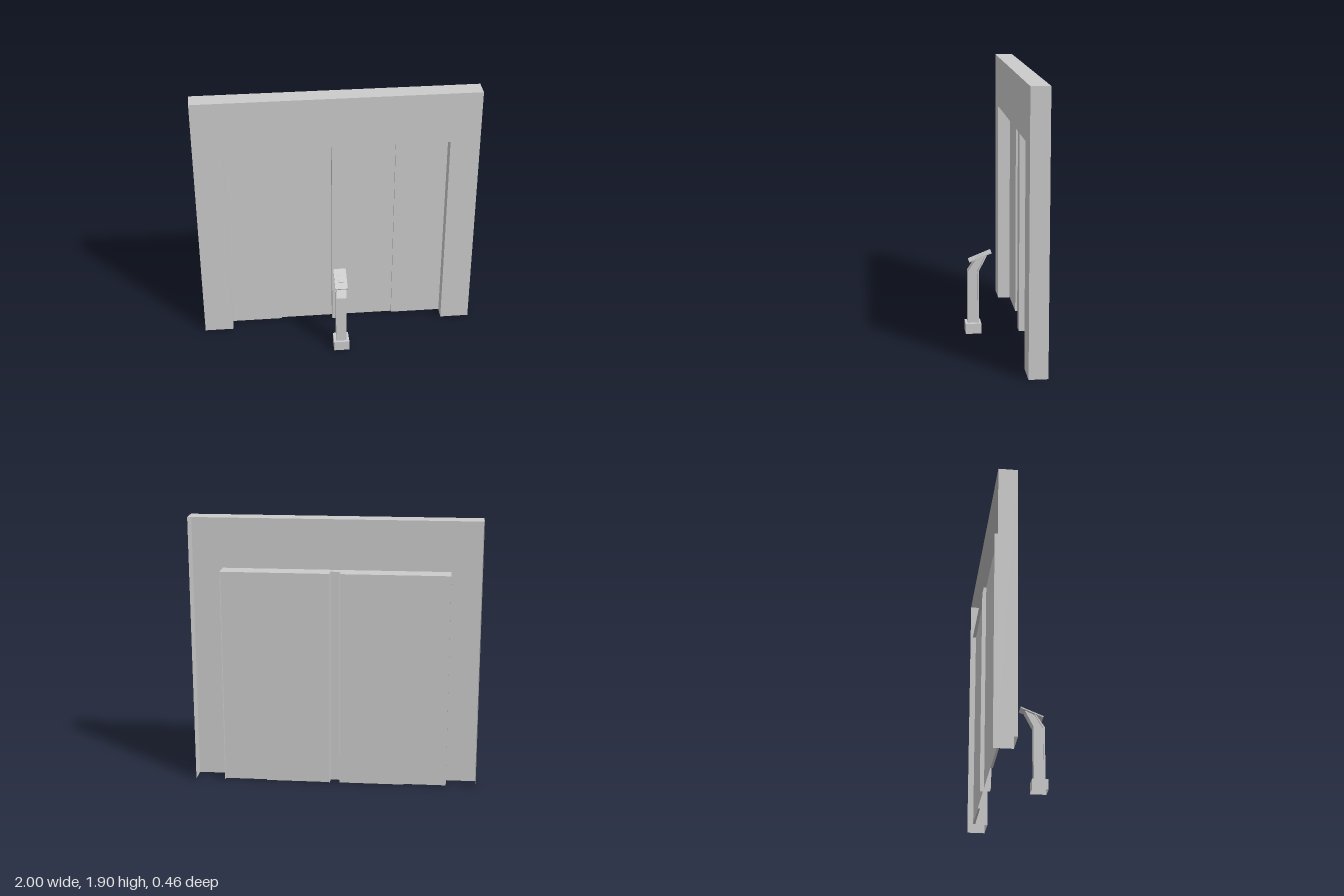
import * as THREE from 'three';

const mat = new THREE.MeshStandardMaterial({ color: 0xcccccc, side: THREE.DoubleSide, flatShading: true });

function add(parent, name, geo, x = 0, y = 0, z = 0) {
  const m = new THREE.Mesh(geo, mat);
  m.name = name;
  m.position.set(x, y, z);
  parent.add(m);
  return m;
}

// Box given by its limits
function block(parent, name, [x0, x1], [y0, y1], [z0, z1]) {
  return add(parent, name, new THREE.BoxGeometry(x1 - x0, y1 - y0, z1 - z0),
    (x0 + x1) / 2, (y0 + y1) / 2, (z0 + z1) / 2);
}

// Thin sheet that follows an open line in x,y and spans z0 (front) to z1 (back)
function ribbon(parent, name, pts, z0, z1) {
  const pos = [];
  for (let i = 0; i < pts.length - 1; i++) {
    const [ax, ay] = pts[i], [bx, by] = pts[i + 1];
    pos.push(ax, ay, z0, bx, by, z0, bx, by, z1, ax, ay, z0, bx, by, z1, ax, ay, z1);
  }
  const g = new THREE.BufferGeometry();
  g.setAttribute('position', new THREE.Float32BufferAttribute(pos, 3));
  g.computeVertexNormals();
  return add(parent, name, g);
}

// Side profile in z,y extruded across x
function sideProfile(parent, name, pts, width) {
  const g = new THREE.ExtrudeGeometry(new THREE.Shape(pts.map(p => new THREE.Vector2(...p))),
    { depth: width, bevelEnabled: false });
  g.translate(0, 0, -width / 2);
  g.rotateY(-Math.PI / 2);
  return add(parent, name, g);
}

function createWall() {
  const wall = new THREE.Group();
  wall.name = 'doorWall';
  const H = 1.905, W = 0.79, T = 1.53, M = 0.035;
  const front = -0.1, back = -0.23, post = -0.16;

  // Facade with the doorway cut out, and its folded outer edge
  const face = new THREE.Shape([[-1, 0], [-W, 0], [-W, T], [W, T], [W, 0], [1, 0], [1, H], [-1, H]]
    .map(p => new THREE.Vector2(...p)));
  add(wall, 'facade', new THREE.ShapeGeometry(face), 0, 0, front);
  ribbon(wall, 'outerEdge', [[1, 0], [1, H], [-1, H], [-1, 0]], front, back);

  // Doorway lining; the back half is split by the centre post
  ribbon(wall, 'doorwayLining', [[-W, 0], [-W, T], [W, T], [W, 0]], front, post);
  for (const s of [-1, 1]) {
    ribbon(wall, 'rearLining', [[s * W, 0], [s * W, T], [s * M, T], [s * M, 0]], post, back);
    // Sliding door leaves, the inner one running behind the outer one
    block(wall, 'outerDoor', s > 0 ? [0.42, W] : [-W, -0.42], [0.004, T], [-0.205, -0.19]);
    add(wall, 'innerDoor', new THREE.PlaneGeometry(0.49 - M, T), s * (0.49 + M) / 2, T / 2, -0.208);
  }
  add(wall, 'centrePost', new THREE.PlaneGeometry(2 * M, T), 0, T / 2, post);
  return wall;
}

function createPedestal() {
  const stand = new THREE.Group();
  stand.name = 'controlPedestal';

  // Hollow foot, open underneath
  const foot = new THREE.Group();
  foot.name = 'foot';
  stand.add(foot);
  const [x, h, z0, z1] = [0.056, 0.075, 0.115, 0.228];
  ribbon(foot, 'footShell', [[-x, 0], [-x, h], [x, h], [x, 0]], z1, z0);
  for (const z of [z0, z1]) add(foot, 'footEnd', new THREE.PlaneGeometry(2 * x, h), 0, h / 2, z);

  // Bent column: a narrower core between front and back plates
  sideProfile(stand, 'frontPlate', [[0.21, h], [0.21, 0.46], [0.15, 0.55], [0.137, 0.552],
    [0.197, 0.455], [0.197, h]], 0.072);
  sideProfile(stand, 'core', [[0.197, h], [0.197, 0.455], [0.137, 0.552], [0.085, 0.574],
    [0.142, 0.462], [0.142, h]], 0.056);
  sideProfile(stand, 'backPlate', [[0.142, h], [0.142, 0.455], [0.085, 0.574], [0.073, 0.572],
    [0.13, 0.462], [0.13, h]], 0.072);

  // Tilted panel with a small raised reader
  const top = new THREE.Group();
  top.name = 'tiltedPanel';
  top.position.set(0, 0.566, 0.12);
  top.rotation.x = 0.38;
  stand.add(top);
  add(top, 'panelPlate', new THREE.BoxGeometry(0.09, 0.009, 0.173));
  add(top, 'reader', new THREE.BoxGeometry(0.036, 0.008, 0.07), 0, 0.006, 0);
  return stand;
}

export function createModel() {
  const model = new THREE.Group();
  model.name = 'elevatorEntrance';
  model.add(createWall(), createPedestal());
  return model;
}
